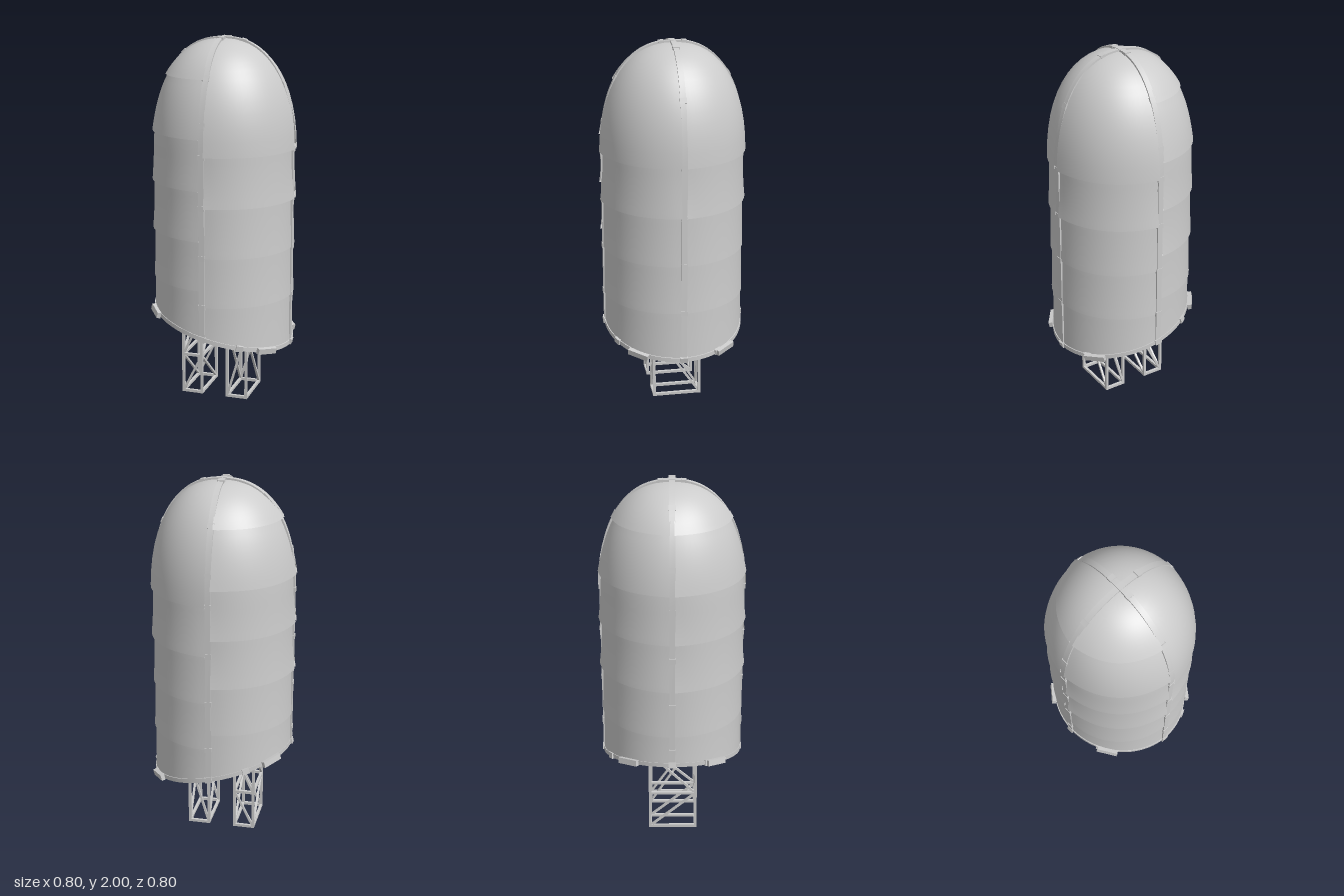
import * as THREE from 'three';
import { toCreasedNormals } from 'three/addons/utils/BufferGeometryUtils.js';

const RAD = 0.38, SHOULDER = 1.4, POW = 2.3, TILT = Math.atan(0.25);
const grey = new THREE.MeshStandardMaterial({ color: 0xcccccc });
const greyThin = new THREE.MeshStandardMaterial({ color: 0xcccccc, side: THREE.DoubleSide });

// Height of the sloping underside at a given x
const floorY = (x) => 0.42 - 0.25 * x;
// Radius of the domed hull at height y, and the reverse on the dome
const radiusAt = (y) => y <= SHOULDER ? RAD
  : RAD * Math.pow(Math.max(0, 1 - Math.pow((y - SHOULDER) / 0.588, POW)), 1 / POW);
const heightAt = (r) => SHOULDER + 0.588 * Math.pow(1 - Math.pow(r / RAD, POW), 1 / POW);

// Dome outline from the shoulder to the apex
function domePoints(a, b, n) {
  return Array.from({ length: n + 1 }, (_, i) => {
    const t = (i / n) * Math.PI / 2;
    return new THREE.Vector2(i === n ? 0 : a * Math.pow(Math.cos(t), 2 / POW),
      SHOULDER + b * Math.pow(Math.sin(t), 2 / POW));
  });
}

function add(parent, name, geometry, material = grey) {
  const mesh = new THREE.Mesh(geometry, material);
  mesh.name = name;
  parent.add(mesh);
  return mesh;
}

// Reposition every vertex height by a rule of (x, y)
function moveY(geometry, rule) {
  const p = geometry.attributes.position;
  for (let i = 0; i < p.count; i++) p.setY(i, rule(p.getX(i), p.getY(i)));
  return geometry;
}

// Surface from rows of points: u runs round, v runs down
function gridSurface(nu, nv, point) {
  const pos = [], index = [];
  for (let j = 0; j <= nv; j++)
    for (let i = 0; i <= nu; i++) pos.push(...point(i / nu, j));
  for (let j = 0; j < nv; j++)
    for (let i = 0; i < nu; i++) {
      const a = j * (nu + 1) + i, c = a + nu + 1;
      index.push(a, a + 1, c, a + 1, c + 1, c);
    }
  const g = new THREE.BufferGeometry();
  g.setAttribute('position', new THREE.Float32BufferAttribute(pos, 3));
  g.setIndex(index);
  return toCreasedNormals(g, 0.6);
}

// One overlapping hull plate, flaring out to a lip at its lower edge
function plate(start, high, low) {
  const n = high > 1.9 ? 14 : 8, margin = 0.035;
  return gridSurface(16, n + 1, (u, j) => {
    const th = start + margin + u * (Math.PI / 2 - 2 * margin);
    const t = Math.min(j / n, 1);
    const bottom = low ?? floorY(RAD * Math.cos(th));
    const y = high - (high - bottom) * (high > 1.9 ? t * t : t);
    const ends = Math.pow(Math.abs(2 * u - 1), 4);
    const flare = low === undefined ? 0.004 : low > 0.9 ? 0.01 + 0.008 * ends : 0.007;
    const r = j > n ? radiusAt(y) - 0.002 : radiusAt(y) + 0.002 + flare * t * t;
    return [r * Math.cos(th), y, r * Math.sin(th)];
  });
}

// Straight square bar between two points
function bar(parent, name, a, b, size) {
  const from = new THREE.Vector3(...a), to = new THREE.Vector3(...b);
  const m = add(parent, name, new THREE.BoxGeometry(size, size, from.distanceTo(to)));
  m.position.copy(from).add(to).multiplyScalar(0.5);
  m.lookAt(to);
}

// Strap over the hull from rim to apex, with clips along it
function strap(theta, clipRadii) {
  const group = new THREE.Group();
  group.name = 'strap';
  const bottom = floorY(RAD * Math.cos(theta));
  const outer = [new THREE.Vector2(0.391, bottom), ...domePoints(0.391, 0.598, 28)];
  const inner = [new THREE.Vector2(0.372, bottom), ...domePoints(0.372, 0.58, 28)].reverse();
  const g = new THREE.ExtrudeGeometry(new THREE.Shape([...outer, ...inner]),
    { depth: 0.03, bevelEnabled: false });
  g.translate(0, 0, -0.015);
  add(group, 'strapBand', toCreasedNormals(g, 0.5));
  for (const y of [...clipRadii.map(heightAt), 1.41, 1.14, 0.87, 0.6]) {
    const slope = Math.atan2(radiusAt(y - 0.004) - radiusAt(y + 0.004), 0.008);
    const clip = add(group, 'strapClip', new THREE.BoxGeometry(0.016, 0.028, 0.036));
    clip.position.set(radiusAt(y) + 0.006 * Math.cos(slope), y + 0.006 * Math.sin(slope), 0);
    clip.rotation.z = slope;
  }
  group.rotation.y = -theta;
  return group;
}

// Lattice leg: four posts, ring of bars at the foot, bracing on each face
function latticeLeg(x0, x1, twoStorey) {
  const group = new THREE.Group();
  group.name = 'latticeLeg';
  const z0 = -0.125, z1 = 0.132, foot = 0.008, mid = 0.225, s = 0.015;
  const top = (x) => floorY(x) + 0.01;
  for (const z of [z0, z1]) {
    for (const x of [x0, x1]) bar(group, 'legPost', [x, 0, z], [x, top(x), z], s);
    bar(group, 'footBar', [x0, foot, z], [x1, foot, z], s);
    if (twoStorey) {
      bar(group, 'middleBar', [x0, mid, z], [x1, mid, z], s);
      bar(group, 'brace', [x0, foot, z], [x1, mid, z], 0.012);
      bar(group, 'brace', [x0, mid, z], [x1, top(x1), z], 0.012);
    } else {
      bar(group, 'brace', [x0, foot, z], [x1, top(x1), z], 0.012);
    }
  }
  for (const x of [x0, x1]) {
    bar(group, 'footBar', [x, foot, z0], [x, foot, z1], s);
    if (twoStorey) {
      bar(group, 'middleBar', [x, mid, z0], [x, mid, z1], s);
      bar(group, 'brace', [x, foot, z0], [x, mid, z1], 0.012);
      bar(group, 'brace', [x, mid, z1], [x, top(x), z0], 0.012);
    } else {
      bar(group, 'brace', [x, foot, z0], [x, top(x), z1], 0.012);
    }
  }
  return group;
}

export function createModel() {
  const model = new THREE.Group();
  model.name = 'domedTower';

  // Inner hull with a sloping base
  const profile = [new THREE.Vector2(RAD, 0.4), ...domePoints(RAD, 0.588, 28)];
  add(model, 'hull', moveY(new THREE.LatheGeometry(profile, 64),
    (x, y) => y < 0.5 ? floorY(x) : y));
  const base = new THREE.CircleGeometry(RAD, 64).rotateX(Math.PI / 2);
  moveY(base, (x) => floorY(x)).computeVertexNormals();
  add(model, 'basePlate', base);

  // Four quarters of overlapping plates; the two sides are staggered
  const plates = new THREE.Group();
  plates.name = 'hullPlates';
  for (let q = 0; q < 4; q++) {
    const onLeft = q === 0 || q === 3;
    const lows = onLeft ? [1.41, 1.14, 0.87, 0.6, undefined]
      : [1.8, 1.5, 1.23, 0.96, 0.69, undefined];
    let high = 1.987;
    for (const low of lows) {
      add(plates, 'hullPlate', plate(q * Math.PI / 2, high, low), greyThin);
      high = low;
    }
  }
  model.add(plates);

  // Straps crossing at the apex
  [[0.11, 0.325], [0.06, 0.3, 0.37], [0.22, 0.36], [0.06, 0.295, 0.37]]
    .forEach((radii, i) => model.add(strap(i * Math.PI / 2, radii)));
  add(model, 'apexPlate', new THREE.BoxGeometry(0.034, 0.008, 0.034)).position.y = 1.996;

  // Sloping rim with lugs
  const section = [[0.37, -0.01], [0.39, -0.01], [0.39, 0.014], [0.37, 0.014], [0.37, -0.01]]
    .map((p) => new THREE.Vector2(...p));
  const rim = moveY(new THREE.LatheGeometry(section, 64), (x, y) => y + floorY(x));
  add(model, 'rim', toCreasedNormals(rim, 0.6));
  for (let i = 0; i < 12; i++) {
    const large = i % 3 === 1;
    const th = large ? Math.PI / 4 + ((i - 1) / 3) * Math.PI / 2 : (i / 12) * Math.PI * 2;
    const yaw = large ? th + (i % 2 ? -0.14 : 0.14) : th;
    const r = large ? 0.398 : 0.386;
    const lug = add(model, 'rimLug', new THREE.BoxGeometry(0.022, 0.032, large ? 0.12 : 0.04));
    lug.position.set(r * Math.cos(yaw), floorY(r * Math.cos(yaw)) + 0.002, r * Math.sin(yaw));
    lug.rotation.set(0, -yaw, -TILT, 'ZYX');
  }

  // Lattice legs
  model.add(latticeLeg(-0.198, -0.09, true), latticeLeg(0.06, 0.17, false));
  return model;
}
